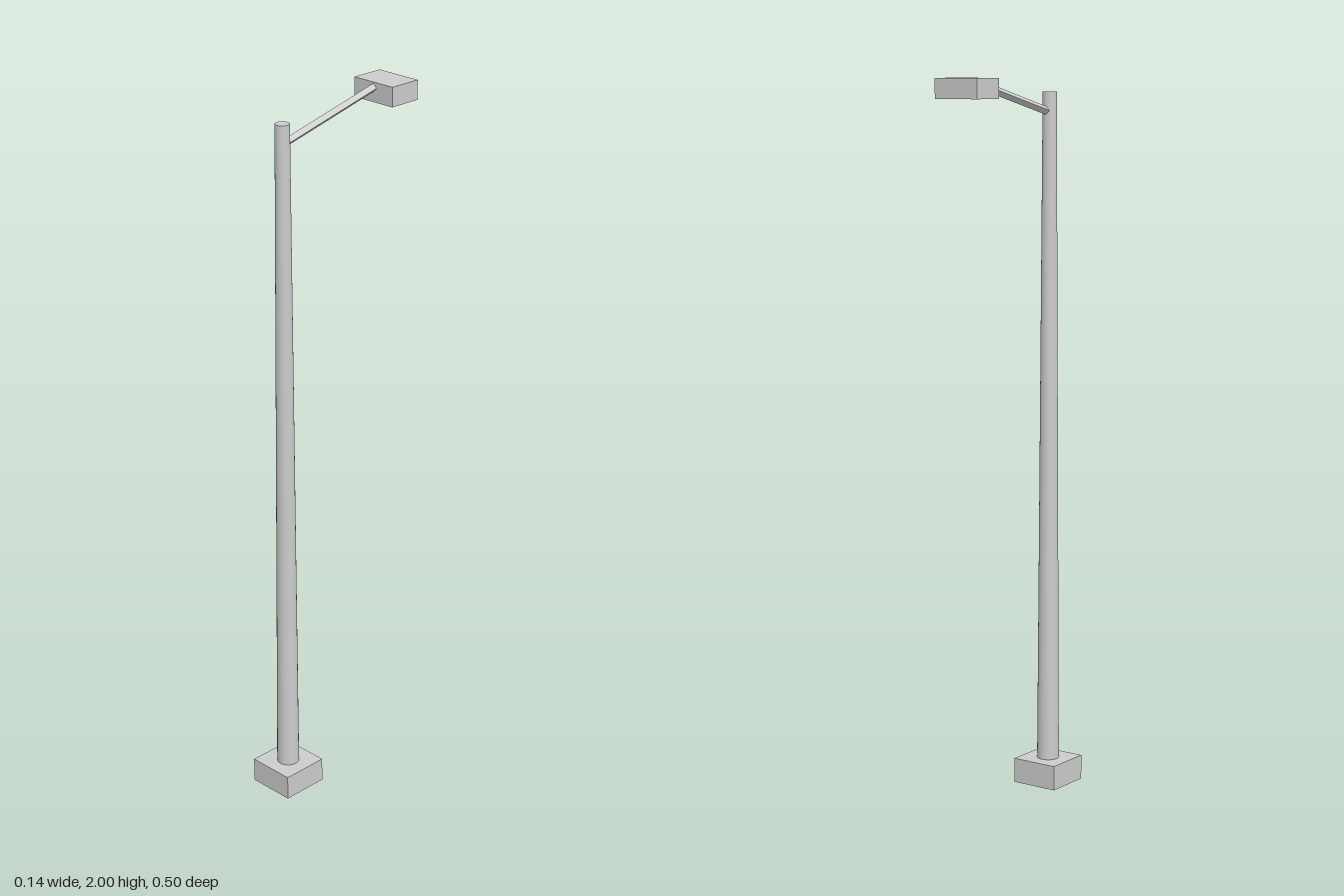
import * as THREE from 'three';

export function createModel() {
  const group = new THREE.Group();
  const material = new THREE.MeshStandardMaterial({ color: 0xcccccc });
  const poleZ = 0.178;

  const add = (name, geometry, x, y, z) => {
    const mesh = new THREE.Mesh(geometry, material);
    mesh.name = name;
    mesh.position.set(x, y, z);
    group.add(mesh);
    return mesh;
  };

  // Square footing
  add('base', new THREE.BoxGeometry(0.138, 0.07, 0.138), 0, 0.035, poleZ);

  // Tapered round pole, standing in the footing
  add('pole', new THREE.CylinderGeometry(0.0195, 0.0315, 1.92, 24), 0, 1.0, poleZ);

  // Diamond-section arm rising from the pole to the lamp
  const start = new THREE.Vector3(0, 1.907, 0.17);
  const end = new THREE.Vector3(0, 1.986, -0.158);
  const along = end.clone().sub(start);
  const armGeometry = new THREE.CylinderGeometry(0.0115, 0.0115, along.length(), 4).toNonIndexed();
  armGeometry.computeVertexNormals();
  const middle = start.clone().lerp(end, 0.5);
  const arm = add('arm', armGeometry, middle.x, middle.y, middle.z);
  arm.quaternion.setFromUnitVectors(new THREE.Vector3(0, 1, 0), along.normalize());

  // Box lamp head
  add('lampHead', new THREE.BoxGeometry(0.138, 0.054, 0.096), 0, 1.973, -0.201);

  return group;
}
